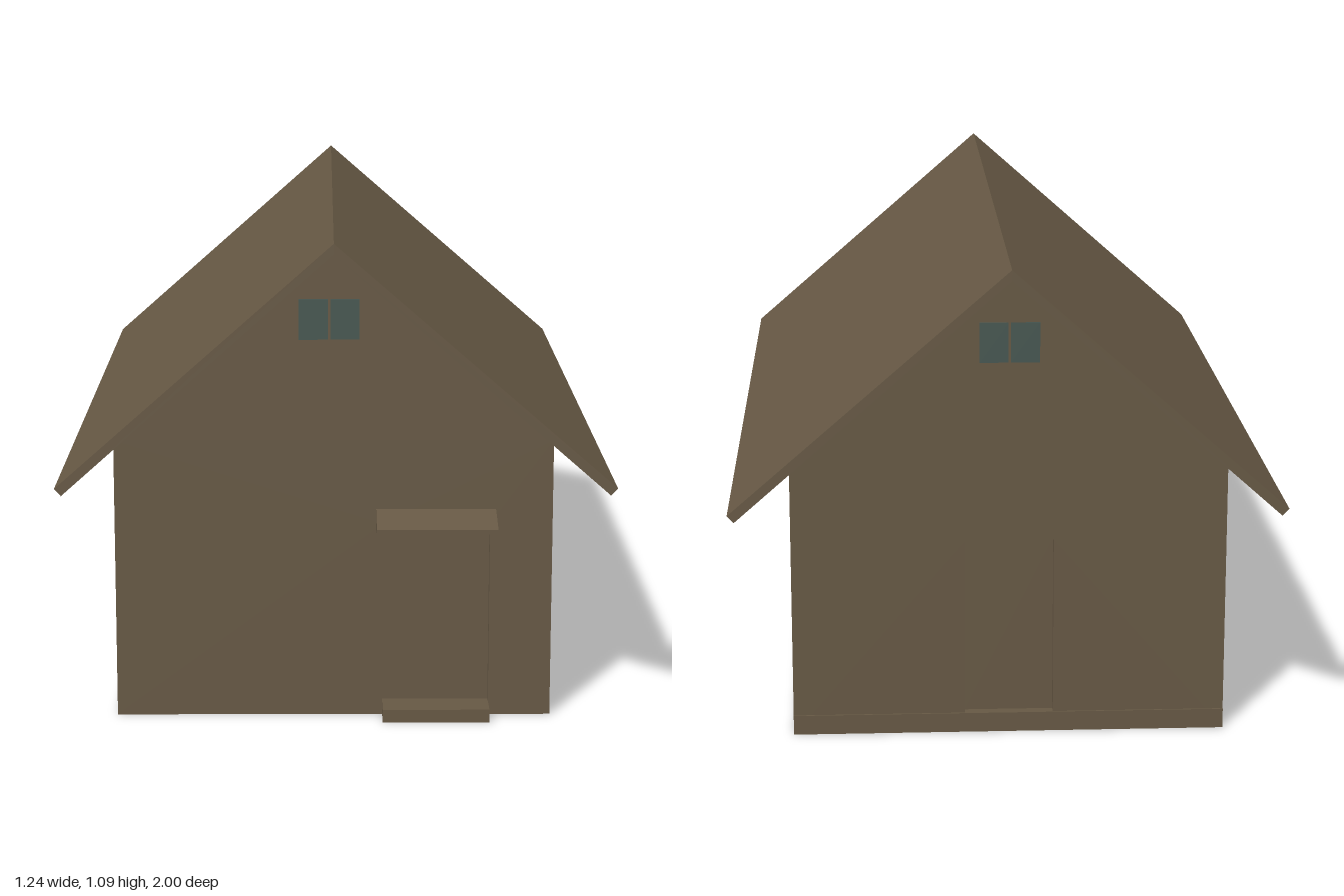
import * as THREE from 'three';

export function createModel() {
  const house = new THREE.Group();
  house.name = 'house';
  const timber = new THREE.MeshStandardMaterial({ color: 0x665844, side: THREE.DoubleSide });
  timber.name = 'brown timber';
  const glass = new THREE.MeshStandardMaterial({ color: 0x465650, side: THREE.DoubleSide });
  glass.name = 'dark teal glass';

  const add = (parent, name, geometry, material = timber) => {
    const mesh = new THREE.Mesh(geometry, material);
    mesh.name = name;
    parent.add(mesh);
    return mesh;
  };
  // Box given by its lower and upper corners
  const box = (parent, name, [x0, y0, z0], [x1, y1, z1], material) => {
    const mesh = add(parent, name, new THREE.BoxGeometry(x1 - x0, y1 - y0, z1 - z0), material);
    mesh.position.set((x0 + x1) / 2, (y0 + y1) / 2, (z0 + z1) / 2);
    return mesh;
  };
  const polygon = (points) => new THREE.Shape(points.map(([x, y]) => new THREE.Vector2(x, y)));

  const centre = -0.005, halfWidth = 0.49, halfLength = 0.91, eave = 0.637, ridge = 1.066;
  const recess = 0.02;

  // Thin wall with openings, each lined by jambs and closed by a set-back panel
  function wall(name, outline, openings) {
    const group = new THREE.Group();
    group.name = name;
    const shape = polygon(outline);
    for (const { part, x0, x1, y0, y1, material } of openings) {
      shape.holes.push(polygon([[x0, y0], [x0, y1], [x1, y1], [x1, y0]]));
      const w = x1 - x0, h = y1 - y0, cx = (x0 + x1) / 2, cy = (y0 + y1) / 2;
      add(group, part, new THREE.PlaneGeometry(w, h), material).position.set(cx, cy, -recess);
      for (const s of [-1, 1]) {
        const jamb = add(group, part + 'Jamb', new THREE.PlaneGeometry(recess, h));
        jamb.position.set(cx + s * w / 2, cy, -recess / 2);
        jamb.rotation.y = -s * Math.PI / 2;
        const lintel = add(group, part + 'Lintel', new THREE.PlaneGeometry(w, recess));
        lintel.position.set(cx, cy + s * h / 2, -recess / 2);
        lintel.rotation.x = s * Math.PI / 2;
      }
    }
    add(group, name + 'Panel', new THREE.ShapeGeometry(shape));
    house.add(group);
    return group;
  }

  // Gable walls with a door and a pair of flush attic panes
  const gable = [[-halfWidth, 0], [halfWidth, 0], [halfWidth, eave], [0, ridge], [-halfWidth, eave]];
  const atticPanes = (group, middle) => {
    for (const s of [-1, 1]) {
      const x = middle + s * 0.035;
      box(group, 'atticPane', [x - 0.032, 0.865, -0.003], [x + 0.032, 0.955, 0.003], glass);
    }
  };
  const front = wall('frontWall', gable,
    [{ part: 'frontDoor', x0: 0.11, x1: 0.35, y0: 0.03, y1: 0.445, material: timber }]);
  front.position.set(centre, 0, halfLength);
  atticPanes(front, -0.01);
  const back = wall('backWall', gable,
    [{ part: 'backDoor', x0: -0.1, x1: 0.1, y0: 0.045, y1: 0.455, material: timber }]);
  back.position.set(centre, 0, -halfLength);
  back.rotation.y = Math.PI;
  atticPanes(back, 0);
  box(back, 'backSill', [-halfWidth, 0, 0], [halfWidth, 0.045, 0.004]);

  // Side walls with two windows each
  const side = [[-halfLength, 0], [halfLength, 0], [halfLength, eave], [-halfLength, eave]];
  for (const s of [-1, 1]) {
    const windows = [-0.305, 0.305].map((x) =>
      ({ part: 'window', x0: x - 0.1, x1: x + 0.1, y0: 0.155, y1: 0.44, material: glass }));
    const group = wall(s > 0 ? 'leftWall' : 'rightWall', side, windows);
    group.position.x = centre + s * halfWidth;
    group.rotation.y = s * Math.PI / 2;
  }

  // Overhanging roof as one extruded chevron
  const roof = polygon([[-0.62, 0.547], [-0.605, 0.531], [centre, 1.066],
    [0.605, 0.531], [0.62, 0.547], [centre, 1.09]]);
  add(house, 'roof', new THREE.ExtrudeGeometry(roof, { depth: 1.995, bevelEnabled: false }))
    .position.z = -1;

  // Door canopy: sloping slab on two wedge brackets, drawn in side profile
  const profile = (name, points, x0, x1) => {
    const mesh = add(house, name,
      new THREE.ExtrudeGeometry(polygon(points), { depth: x1 - x0, bevelEnabled: false }));
    mesh.rotation.y = -Math.PI / 2;
    mesh.position.x = x1;
  };
  profile('canopy', [[0.91, 0.465], [1, 0.444], [1, 0.455], [0.91, 0.48]], 0.09, 0.358);
  for (const x of [0.09, 0.35]) {
    profile('canopyBracket', [[0.91, 0.431], [0.995, 0.445], [0.91, 0.467]], x, x + 0.008);
  }

  // Front door step
  box(house, 'doorStep', [0.105, 0, 0.91], [0.345, 0.03, 0.97]);

  return house;
}
